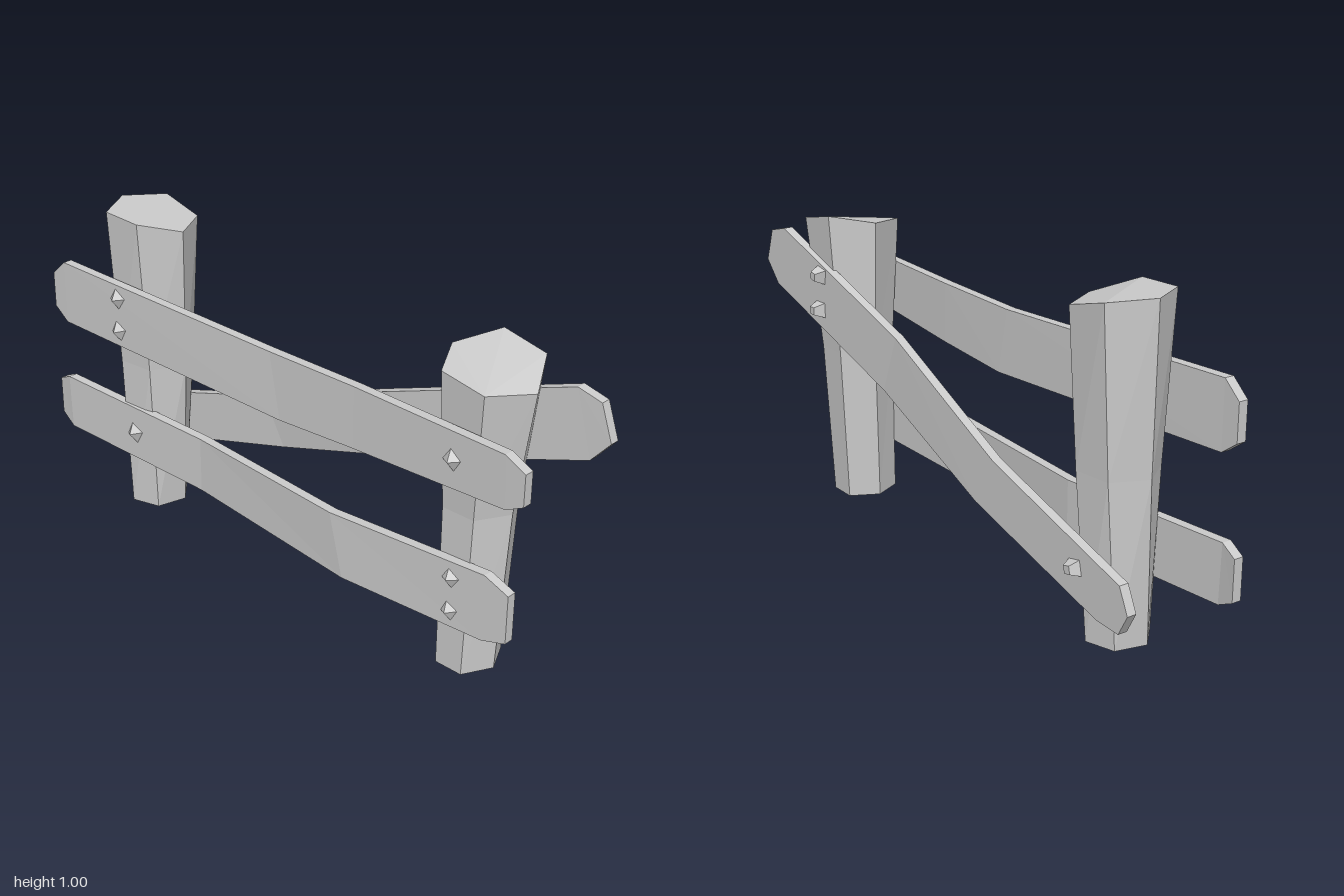
import * as THREE from 'three';

const material = new THREE.MeshStandardMaterial({ color: 0xcccccc, flatShading: true });

// Skins a list of equal-sized rings and closes both ends.
function loft(name, rings) {
  const n = rings[0].length, last = (rings.length - 1) * n, index = [];
  for (let i = 0; i < rings.length - 1; i++) {
    for (let j = 0; j < n; j++) {
      const a = i * n + j, b = i * n + (j + 1) % n;
      index.push(a, b, b + n, a, b + n, a + n);
    }
  }
  for (let j = 1; j < n - 1; j++) {
    index.push(0, j + 1, j, last, last + j, last + j + 1);
  }
  const indexed = new THREE.BufferGeometry();
  indexed.setAttribute('position', new THREE.Float32BufferAttribute(rings.flat(2), 3));
  indexed.setIndex(index);
  const geometry = indexed.toNonIndexed();
  geometry.computeVertexNormals();
  const mesh = new THREE.Mesh(geometry, material);
  mesh.name = name;
  return mesh;
}

// Six-sided post; section = [x, z, radiusX, radiusZ, twist, height or six heights].
function post(name, sections) {
  return loft(name, sections.map(([x, z, rx, rz, twist, y]) =>
    Array.from({ length: 6 }, (_, j) => {
      const a = Math.PI / 6 + j * Math.PI / 3 + twist;
      return [x + rx * Math.sin(a), Array.isArray(y) ? y[j] : y, z + rz * Math.cos(a)];
    })));
}

// Warped plank; section = [topX, topY, bottomX, bottomY, z].
function plank(name, sections, thickness = 0.03) {
  const h = thickness / 2;
  return loft(name, sections.map(([tx, ty, bx, by, z]) => [
    [bx, by, z - h], [tx, ty, z - h], [tx, ty, z + h], [bx, by, z + h],
  ]));
}

// Four-sided bolt head, pointed at the front or blunt at the back.
function bolt(name, x, y, z, front, twist) {
  const geometry = new THREE.CylinderGeometry(front ? 0 : 0.017, front ? 0.038 : 0.035, front ? 0.026 : 0.036, 4);
  geometry.rotateY(twist);
  geometry.rotateX(front ? Math.PI / 2 : -Math.PI / 2);
  const mesh = new THREE.Mesh(geometry, material);
  mesh.name = name;
  mesh.position.set(x, y, z);
  return mesh;
}

export function createModel() {
  const fence = new THREE.Group();
  fence.name = 'fence';

  // Posts with slanted tops
  fence.add(post('rightPost', [
    [-0.648, 0.01, 0.096, 0.1, 0.28, 0],
    [-0.643, 0, 0.12, 0.118, 0.1, 0.5],
    [-0.645, -0.003, 0.14, 0.142, 0, [0.99, 0.953, 0.955, 0.992, 1, 0.995]],
  ]));
  fence.add(post('leftPost', [
    [0.675, 0.015, 0.091, 0.104, 0, 0],
    [0.68, 0.002, 0.107, 0.114, 0, 0.5],
    [0.698, 0.002, 0.143, 0.148, 0, [0.89, 0.877, 0.925, 0.955, 0.93, 0.915]],
  ]));

  // Front rails
  fence.add(plank('upperRail', [
    [-0.945, 0.744, -0.945, 0.63, 0.147],
    [-0.89, 0.793, -0.89, 0.59, 0.147],
    [0, 0.765, 0.04, 0.56, 0.117],
    [0.33, 0.77, 0.33, 0.58, 0.122],
    [0.87, 0.776, 0.88, 0.62, 0.148],
    [0.937, 0.744, 0.937, 0.65, 0.149],
  ]));
  fence.add(plank('lowerRail', [
    [-1, 0.34, -1, 0.215, 0.106],
    [-0.945, 0.365, -0.94, 0.185, 0.114],
    [-0.34, 0.345, -0.34, 0.165, 0.086],
    [0.25, 0.345, 0.3, 0.147, 0.128],
    [0.8, 0.372, 0.8, 0.165, 0.112],
    [0.88, 0.34, 0.88, 0.19, 0.11],
  ]));

  // Diagonal brace behind the posts
  fence.add(plank('diagonalBrace', [
    [-0.865, 0.19, -0.83, 0.125, -0.132],
    [-0.83, 0.265, -0.74, 0.13, -0.132],
    [-0.285, 0.435, -0.2, 0.285, -0.138],
    [0.26, 0.65, 0.33, 0.465, -0.106],
    [0.88, 0.87, 0.935, 0.675, -0.13],
    [0.957, 0.85, 0.995, 0.744, -0.132],
  ]));

  // Bolts
  [[-0.643, 0.74, 0.163], [-0.643, 0.633, 0.163], [0.695, 0.69, 0.163],
    [-0.637, 0.265, 0.125], [0.687, 0.315, 0.137], [0.687, 0.21, 0.137],
  ].forEach(([x, y, z], i) => fence.add(bolt('frontBolt' + (i + 1), x, y, z, true, 0.2 + 0.1 * (i % 2))));
  [[0.665, 0.76], [0.675, 0.645], [-0.65, 0.25],
  ].forEach(([x, y], i) => fence.add(bolt('backBolt' + (i + 1), x, y, i < 2 ? -0.15 : -0.16, false, 0.6 + 0.2 * i)));

  return fence;
}
